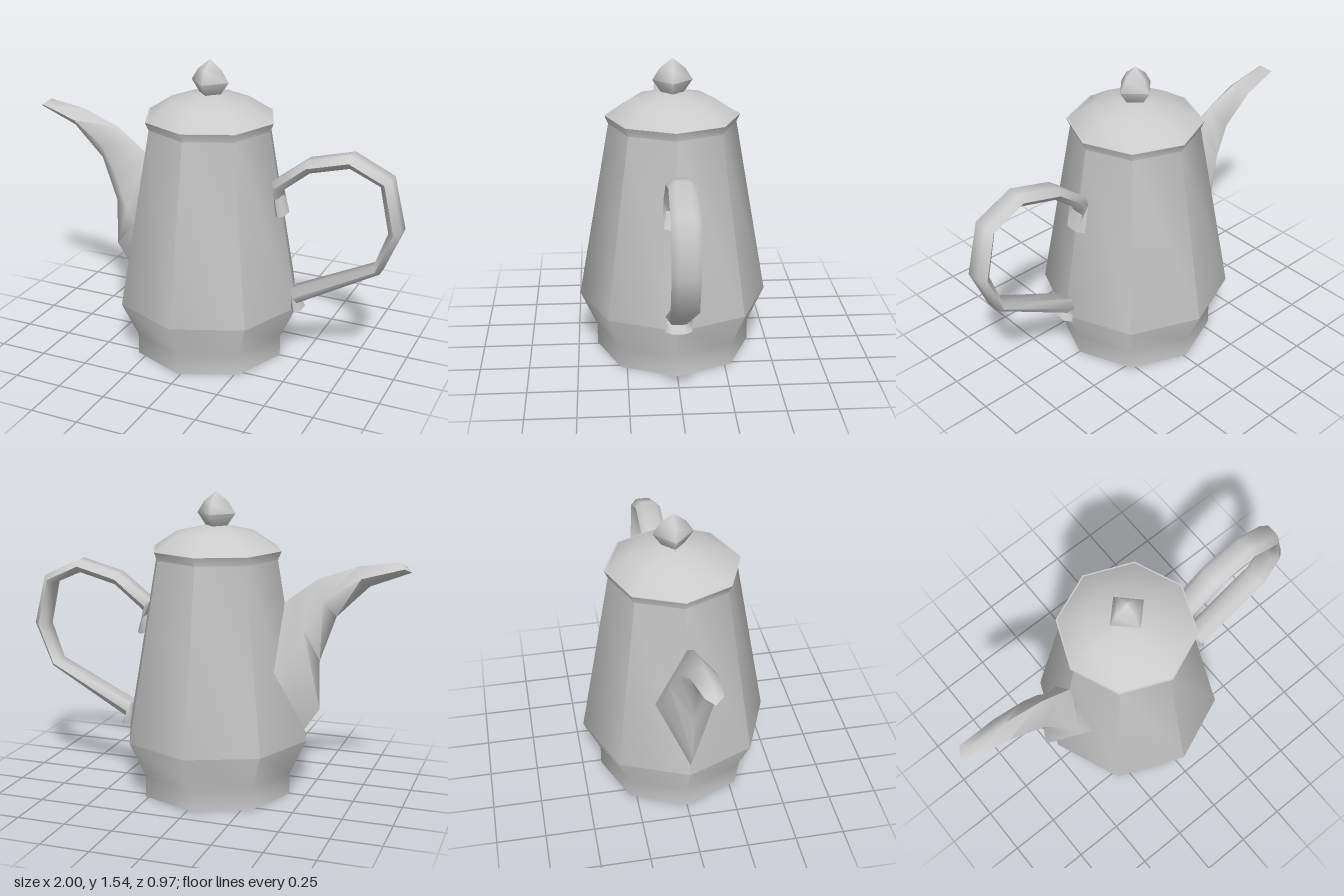
import * as THREE from 'three';
import { toCreasedNormals } from 'three/addons/utils/BufferGeometryUtils.js';

const material = new THREE.MeshStandardMaterial({ color: 0xcccccc, side: THREE.DoubleSide });
const AXIS_X = -0.015;

function addMesh(group, name, geometry) {
  const mesh = new THREE.Mesh(geometry, material);
  mesh.name = name;
  group.add(mesh);
  return mesh;
}

// Faceted turned part with softened sides and sharp rims
function turned(profile, sides, crease) {
  const points = profile.map(([r, y]) => new THREE.Vector2(r, y));
  const geometry = toCreasedNormals(new THREE.LatheGeometry(points, sides), crease);
  return geometry.translate(AXIS_X, 0, 0);
}

// Skin over rings of equal point count, closed at both ends
function loft(rings, crease) {
  const n = rings[0].length;
  const index = [];
  for (let i = 0; i < rings.length - 1; i++) {
    for (let j = 0; j < n; j++) {
      const a = i * n + j, b = i * n + (j + 1) % n;
      index.push(a, b, a + n, b, b + n, a + n);
    }
  }
  const last = (rings.length - 1) * n;
  for (let j = 1; j < n - 1; j++) {
    index.push(0, j + 1, j, last, last + j, last + j + 1);
  }
  const geometry = new THREE.BufferGeometry();
  geometry.setAttribute('position', new THREE.Float32BufferAttribute(rings.flat(2), 3));
  geometry.setIndex(index);
  return toCreasedNormals(geometry, crease);
}

export function createModel() {
  const pot = new THREE.Group();
  pot.name = 'coffeePot';

  // Octagonal body with flared rim
  addMesh(pot, 'body', turned([
    [0, 0], [0.4, 0], [0.4, 0.11], [0.485, 0.295], [0.322, 1.215], [0.34, 1.258], [0.32, 1.258],
  ], 8, 0.9));

  // Domed lid
  addMesh(pot, 'lid', turned([
    [0.335, 1.256], [0.21, 1.338], [0.06, 1.373], [0, 1.378],
  ], 8, 0.9));

  // Four-sided knob
  addMesh(pot, 'knob', turned([
    [0.055, 1.37], [0.1, 1.435], [0.065, 1.492], [0, 1.545],
  ], 4, 1.65));

  // Spout: each ring is top point, side point (x, y, half width), bottom point
  const spoutRings = [
    [[-0.94, 1.235], [-0.97, 1.21, 0.043], [-1.0, 1.19]],
    [[-0.74, 1.205], [-0.77, 1.155, 0.063], [-0.8, 1.11]],
    [[-0.54, 1.13], [-0.59, 1.04, 0.083], [-0.64, 0.95]],
    [[-0.44, 1.055], [-0.5, 0.9, 0.108], [-0.56, 0.72]],
    [[-0.37, 1.0], [-0.43, 0.73, 0.135], [-0.565, 0.47]],
    [[-0.35, 0.97], [-0.367, 0.68, 0.155], [-0.475, 0.335]],
  ].map(([top, [sx, sy, w], bottom]) => [
    [...top, 0], [sx, sy, w], [...bottom, 0], [sx, sy, -w],
  ]);
  addMesh(pot, 'spout', loft(spoutRings, 1.6));

  // Handle: outer and inner edge of a flattened six-sided bar, with a foot at each end
  const handleRings = [
    [0.405, 0.8, 0.355, 0.8],
    [0.335, 0.97, 0.375, 0.92],
    [0.51, 1.105, 0.53, 1.045],
    [0.735, 1.165, 0.73, 1.098],
    [0.935, 1.07, 0.885, 1.03],
    [1.0, 0.81, 0.935, 0.8],
    [0.905, 0.58, 0.87, 0.615],
    [0.482, 0.338, 0.45, 0.41],
    [0.505, 0.298, 0.455, 0.3],
  ].map(([ox, oy, ix, iy]) => {
    const mx = (ox + ix) / 2, my = (oy + iy) / 2;
    return [
      [ox, oy, 0.035], [mx, my, 0.066], [ix, iy, 0.035],
      [ix, iy, -0.035], [mx, my, -0.066], [ox, oy, -0.035],
    ];
  });
  addMesh(pot, 'handle', loft(handleRings, 1.2));

  return pot;
}
